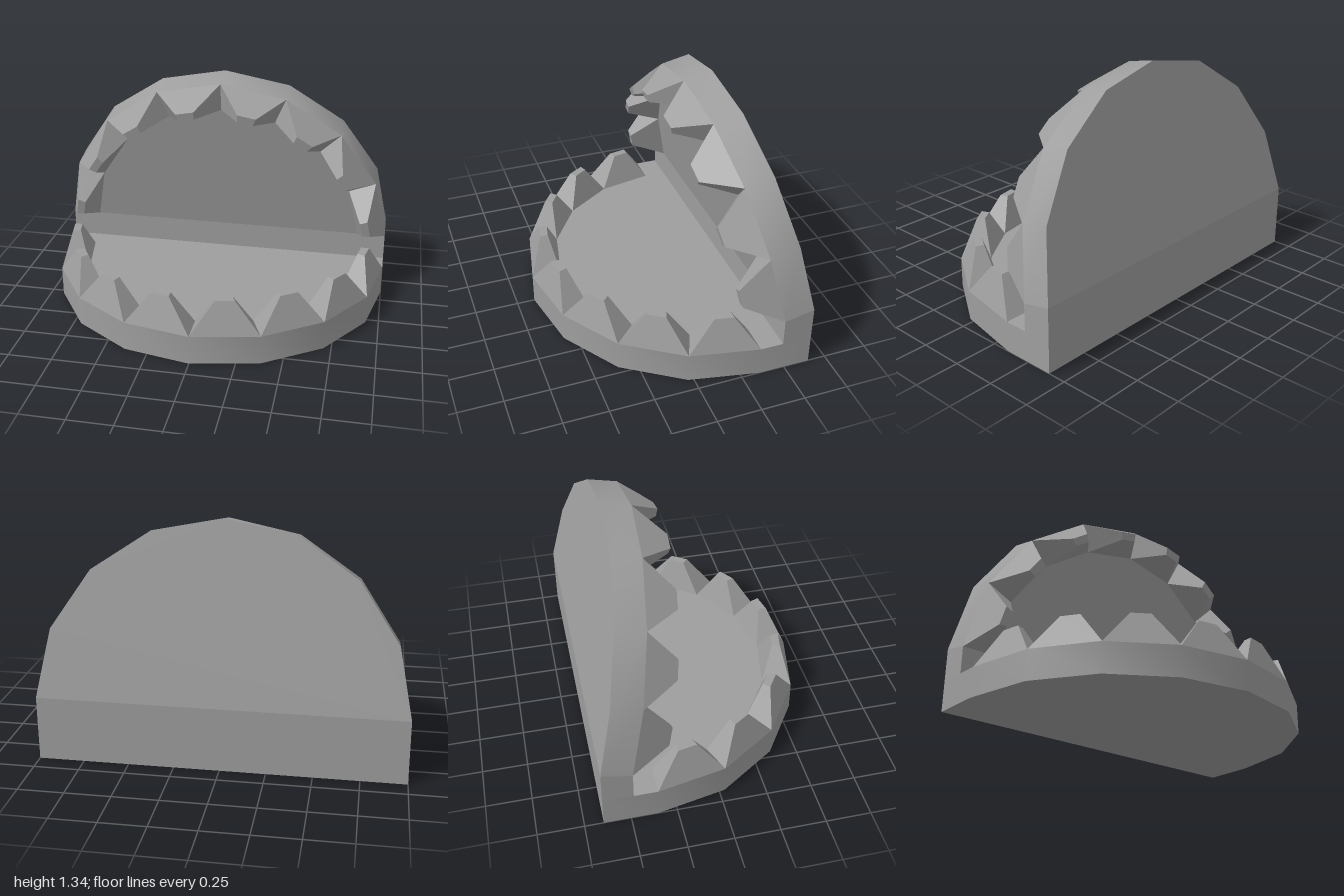
import * as THREE from 'three';
import { toCreasedNormals } from 'three/addons/utils/BufferGeometryUtils.js';

const SIDES = 8;          // facets along each half-round jaw
const THICK = 0.17;       // plate thickness
const TOOTH = 0.188;      // tooth height
const LEAN = 0.21;        // forward lean of the upper jaw
const HINGE_Y = 0.325;    // inner hinge line
const HINGE_Z = -0.482;
const material = new THREE.MeshStandardMaterial({ color: 0x9e9e9e });

function mesh(name, geometry) {
  const m = new THREE.Mesh(geometry, material);
  m.name = name;
  return m;
}

// Half-round plate with its top at y = 0, extended straight back by `back`
function plateGeometry(back) {
  const pts = [];
  for (let i = 0; i <= SIDES; i++) {
    const a = (i / SIDES) * Math.PI;
    pts.push(new THREE.Vector2(Math.cos(a), Math.sin(a)));
  }
  if (back > 0) pts.push(new THREE.Vector2(-1, -back), new THREE.Vector2(1, -back));
  const g = new THREE.ExtrudeGeometry(new THREE.Shape(pts), { depth: THICK, bevelEnabled: false });
  g.rotateX(Math.PI / 2);
  return toCreasedNormals(g, 0.5);
}

// Tapered tooth standing on one facet of the plate's rim
function toothGeometry(i) {
  const a0 = (i / SIDES) * Math.PI, a1 = ((i + 1) / SIDES) * Math.PI, mid = (a0 + a1) / 2;
  const base = (r, a) => new THREE.Vector3(r * Math.cos(a), 0, r * Math.sin(a));
  const tip = (r, t) => new THREE.Vector3(
    r * Math.cos(mid) - t * Math.sin(mid), TOOTH, r * Math.sin(mid) + t * Math.cos(mid));
  const low = [base(1, a0), base(1, a1), base(0.83, a1), base(0.83, a0)];
  const high = [tip(0.92, -0.054), tip(0.92, 0.054), tip(0.874, 0.045), tip(0.874, -0.045)];
  const tris = [];
  const quad = (a, b, c, d) => tris.push(a, b, c, a, c, d);
  for (let k = 0; k < 4; k++) {
    const n = (k + 1) % 4;
    quad(low[k], high[k], high[n], low[n]);
  }
  quad(high[0], high[3], high[2], high[1]);
  const g = new THREE.BufferGeometry().setFromPoints(tris);
  g.computeVertexNormals();
  return g;
}

// Plate with one tooth per facet
function jaw(name, back) {
  const group = new THREE.Group();
  group.name = name;
  group.add(mesh(name + 'Plate', plateGeometry(back)));
  for (let i = 0; i < SIDES; i++) group.add(mesh(name + 'Tooth' + (i + 1), toothGeometry(i)));
  return group;
}

export function createModel() {
  const model = new THREE.Group();
  model.name = 'jaws';

  // Outer hinge line, one plate thickness behind the inner one
  const outerY = HINGE_Y + THICK * Math.sin(LEAN);
  const outerZ = HINGE_Z - THICK * Math.cos(LEAN);

  // Lower jaw lies flat on the ground
  const lower = jaw('lowerJaw', -0.352 - outerZ);
  lower.position.set(0, THICK, -0.352);
  model.add(lower);

  // Upper jaw stands open, leaning slightly forward
  const upper = jaw('upperJaw', 0);
  upper.rotation.set(Math.PI / 2 + LEAN, Math.PI, 0);
  upper.position.set(0, HINGE_Y, HINGE_Z);
  model.add(upper);

  // Hinge wall joins the two at the back; profile drawn as (-z, y)
  const profile = new THREE.Shape([
    new THREE.Vector2(-HINGE_Z, THICK), new THREE.Vector2(-outerZ, THICK),
    new THREE.Vector2(-outerZ, outerY), new THREE.Vector2(-HINGE_Z, HINGE_Y),
  ]);
  const wall = new THREE.ExtrudeGeometry(profile, { depth: 2, bevelEnabled: false });
  wall.translate(0, 0, -1);
  wall.rotateY(Math.PI / 2);
  model.add(mesh('hingeWall', wall));

  return model;
}
